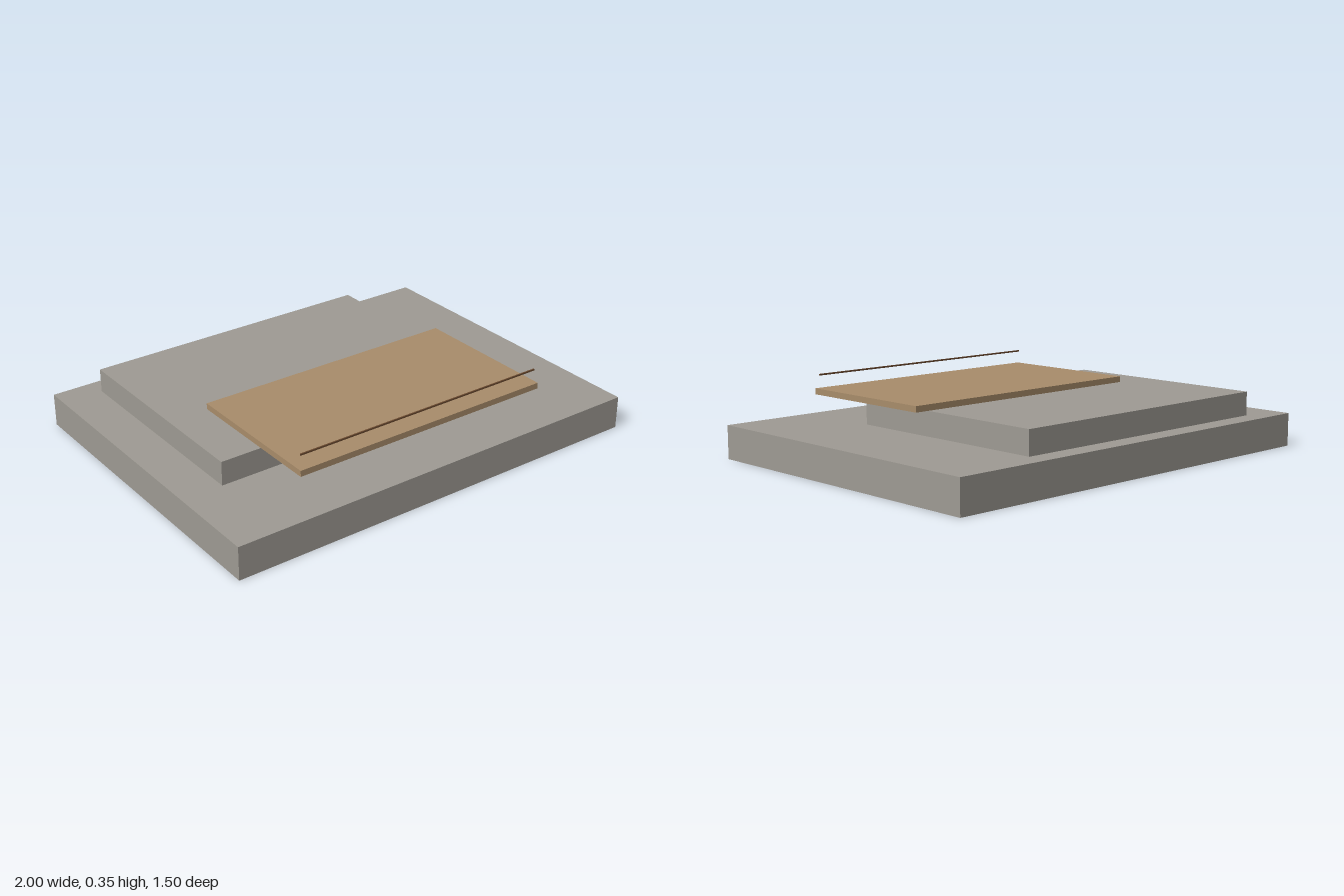
import * as THREE from 'three';

const stone = new THREE.MeshStandardMaterial({ color: 0x9e9a93 });
stone.name = 'stone';
const wood = new THREE.MeshStandardMaterial({ color: 0xa88c6a });
wood.name = 'wood';
const darkWood = new THREE.MeshStandardMaterial({ color: 0x6b4a30 });
darkWood.name = 'darkWood';

// Box spanning the given [min, max] range on each axis
function slab(name, material, [x0, x1], [y0, y1], [z0, z1]) {
  const mesh = new THREE.Mesh(new THREE.BoxGeometry(x1 - x0, y1 - y0, z1 - z0), material);
  mesh.position.set((x0 + x1) / 2, (y0 + y1) / 2, (z0 + z1) / 2);
  mesh.name = name;
  return mesh;
}

export function createModel() {
  const group = new THREE.Group();
  group.name = 'terrace';
  group.add(
    // Broad ground slab and the offset tier on it
    slab('baseSlab', stone, [-1, 1], [0, 0.15], [-0.75, 0.75]),
    slab('upperSlab', stone, [-0.812, 0.557], [0.15, 0.258], [-0.655, 0.345]),
    // Wooden deck overhanging the front of the tier
    slab('deck', wood, [-0.625, 0.622], [0.258, 0.285], [-0.062, 0.623]),
  );

  // Thin rail floating above the front edge of the deck
  const rail = new THREE.Mesh(new THREE.BoxGeometry(1.225, 0.007, 0.006), darkWood);
  rail.position.set(-0.002, 0.346, 0.606);
  rail.name = 'rail';
  group.add(rail);
  return group;
}
